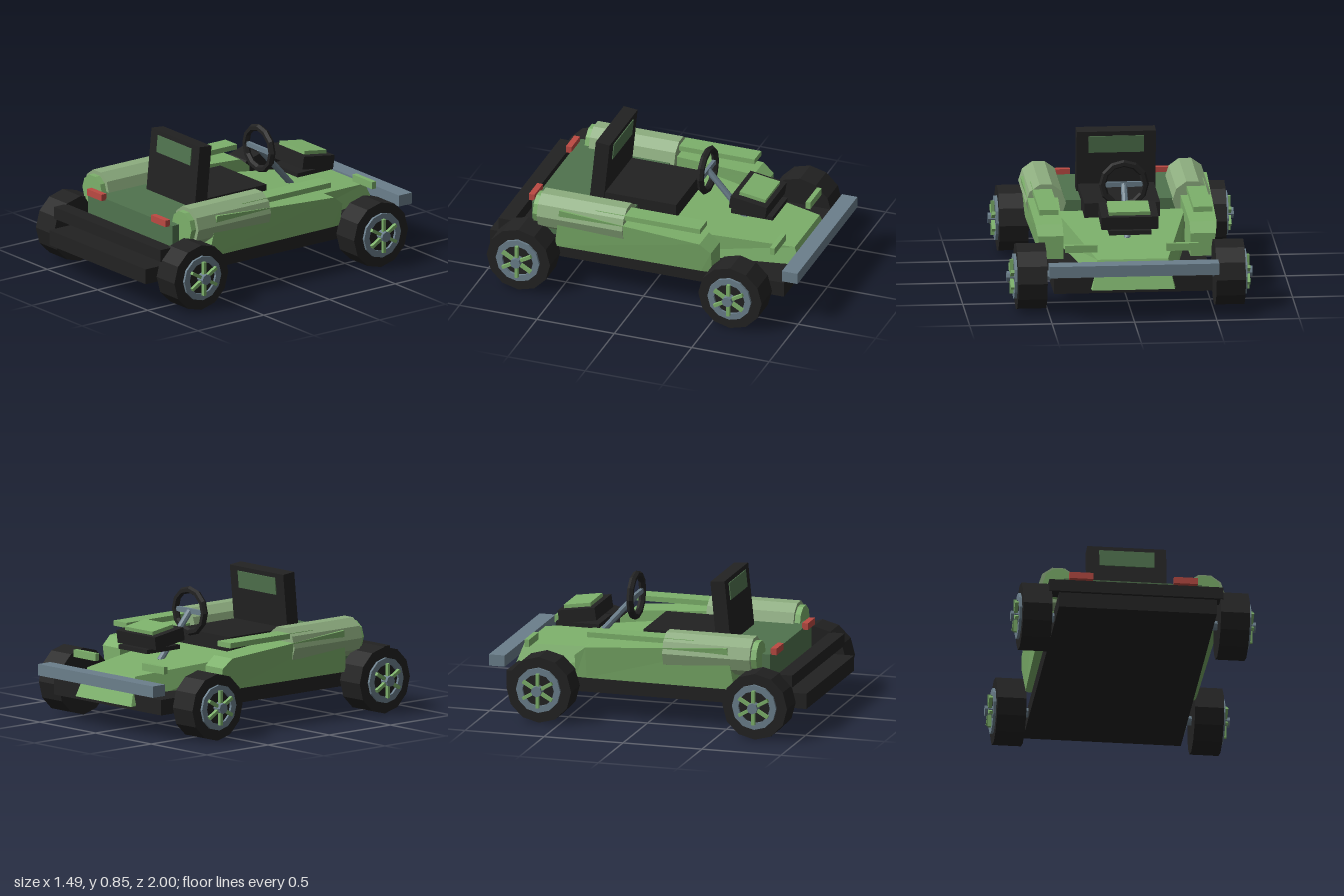
import * as THREE from 'three';

const mat = (name, color) => {
  const m = new THREE.MeshStandardMaterial({ color, flatShading: true });
  m.name = name;
  return m;
};

export function createModel() {
  const kart = new THREE.Group();
  kart.name = 'kart';
  const green = mat('bright green', 0x7db16b);
  const darkGreen = mat('dark green', 0x50734e);
  const sage = mat('sage green', 0x8dad7f);
  const black = mat('black', 0x222222);
  const grey = mat('steel grey', 0x6b7f8c);
  const red = mat('red', 0xbb4a42);

  const add = (name, geo, m, x = 0, y = 0, z = 0, parent = kart) => {
    const mesh = new THREE.Mesh(geo, m);
    mesh.name = name;
    mesh.position.set(x, y, z);
    parent.add(mesh);
    return mesh;
  };
  // box given by its limits
  const span = (name, m, x0, x1, y0, y1, z0, z1) =>
    add(name, new THREE.BoxGeometry(x1 - x0, y1 - y0, z1 - z0), m,
      (x0 + x1) / 2, (y0 + y1) / 2, (z0 + z1) / 2);
  // same box on both sides
  const pair = (name, m, x0, x1, ...r) => {
    span(name + 'Left', m, x0, x1, ...r);
    span(name + 'Right', m, -x1, -x0, ...r);
  };
  // box whose vertices are moved by a rule
  const shaped = (rule, depthSegments = 1) => {
    const g = new THREE.BoxGeometry(2, 2, 2, 1, 1, depthSegments);
    const p = g.attributes.position;
    for (let i = 0; i < p.count; i++) p.setXYZ(i, ...rule(p.getX(i), p.getY(i), p.getZ(i)));
    g.computeVertexNormals();
    return g;
  };
  const lerp = THREE.MathUtils.lerp;

  // chassis and bumpers
  span('chassis', black, -0.48, 0.48, 0.16, 0.255, -0.9, 1);
  span('rearBumper', black, -0.53, 0.53, 0.3, 0.375, 0.83, 0.925);
  span('frontBumper', grey, -0.515, 0.515, 0.285, 0.355, -1, -0.9);

  // rear deck, cockpit floor and tail lights
  span('rearDeck', darkGreen, -0.42, 0.42, 0.27, 0.465, 0.14, 0.75);
  span('cockpitFloor', black, -0.4, 0.4, 0.25, 0.38, -0.1, 0.16);
  pair('tailLight', red, 0.245, 0.39, 0.456, 0.497, 0.745, 0.782);

  // wedge hood, narrow at the nose
  add('hood', shaped((x, y, z) => {
    const top = y > 0;
    if (z < 0) return top ? [x * 0.215, 0.36, -0.87] : [x * 0.25, 0.185, -0.935];
    return top ? [x * 0.39, 0.43, 0.02] : [x * 0.41, 0.25, 0.065];
  }), green);
  pair('noseFin', green, 0.21, 0.405, 0.39, 0.435, -0.81, -0.78);

  // side pods with top rails and rounded tanks
  for (const s of [1, -1]) {
    const side = s > 0 ? 'Left' : 'Right';
    add('sidePod' + side, shaped((x, y, z) => {
      const top = y > 0;
      // stations: front edge, shoulder, rear
      const k = z < -0.9 ? 0 : z < 0.9 ? 1 : 2;
      const outer = (top ? [0.54, 0.55, 0.565] : [0.515, 0.52, 0.535])[k];
      const inner = [0.385, 0.385, 0.36][k];
      const height = top ? [0.4, 0.455, 0.52][k] : 0.258;
      const depth = (top ? [-0.45, -0.38, 0.52] : [-0.45, -0.38, 0.56])[k];
      return [s * (outer + inner) / 2 + x * (outer - inner) / 2, height, depth];
    }, 2), green);
    span('topRail' + side, green, s * 0.467 - 0.058, s * 0.467 + 0.058, 0.513, 0.545, -0.375, 0.3);

    const tank = (name, r, z0, z1, m) => {
      const g = new THREE.CylinderGeometry(r, r, z1 - z0, 10);
      g.rotateY(Math.PI / 10).rotateX(Math.PI / 2);
      add(name + side, g, m, s * 0.445, 0.457, (z0 + z1) / 2);
    };
    tank('tankShell', 0.122, 0.112, 0.665, sage);
    tank('tankCore', 0.098, 0.13, 0.7, green);
  }

  // seat
  span('seatCushion', black, -0.23, 0.23, 0.36, 0.51, -0.11, 0.4);
  const back = new THREE.Group();
  back.name = 'seatBack';
  back.position.set(0, 0.655, 0.38);
  back.rotation.x = -0.1;
  kart.add(back);
  add('backrest', new THREE.BoxGeometry(0.48, 0.385, 0.09), black, 0, 0, 0, back);
  for (const s of [1, -1])
    add('backrestPanel', new THREE.BoxGeometry(0.335, 0.105, 0.008), darkGreen, 0, 0.112, s * 0.047, back);

  // steering wheel and column
  add('steeringWheel', new THREE.TorusGeometry(0.13, 0.022, 6, 12), black, 0, 0.657, -0.228);
  add('steeringCrossbar', new THREE.BoxGeometry(0.25, 0.03, 0.02), grey, 0, 0.657, -0.228);
  const a = new THREE.Vector3(0, 0.655, -0.23), b = new THREE.Vector3(0, 0.38, -0.475);
  const column = add('steeringColumn', new THREE.CylinderGeometry(0.02, 0.02, a.distanceTo(b), 8), grey);
  column.position.copy(a).lerp(b, 0.5);
  column.quaternion.setFromUnitVectors(new THREE.Vector3(0, 1, 0), a.clone().sub(b).normalize());

  // tilted instrument box on its base
  span('instrumentBase', black, -0.128, 0.128, 0.464, 0.49, -0.695, -0.425);
  const box = new THREE.Group();
  box.name = 'instrumentBox';
  box.position.set(0, 0.547, -0.55);
  box.rotation.x = -0.15;
  kart.add(box);
  add('instrumentCase', new THREE.BoxGeometry(0.345, 0.08, 0.236), black, 0, 0, 0, box);
  add('instrumentLid', new THREE.BoxGeometry(0.25, 0.025, 0.17), green, 0, 0.05, -0.005, box);

  // wheels and axles, built along y then turned to x
  const tyre = new THREE.CylinderGeometry(0.205, 0.205, 0.177, 12);
  const ring = new THREE.LatheGeometry(
    [[0.1, 0], [0.14, 0], [0.14, 0.017], [0.1, 0.017], [0.1, 0]].map(p => new THREE.Vector2(...p)), 12);
  const hub = new THREE.CylinderGeometry(0.033, 0.033, 0.06, 8);
  const spoke = new THREE.BoxGeometry(0.02, 0.022, 0.1).translate(0, 0, 0.056);
  for (const z of [0.737, -0.63]) {
    const axle = add('axle', new THREE.CylinderGeometry(0.03, 0.03, 1.1, 8), grey, 0, 0.205, z);
    axle.rotation.z = Math.PI / 2;
    for (const s of [1, -1]) {
      const wheel = new THREE.Group();
      wheel.name = (z > 0 ? 'rear' : 'front') + 'Wheel' + (s > 0 ? 'Left' : 'Right');
      wheel.position.set(s * 0.601, 0.205, z);
      wheel.rotation.z = -s * Math.PI / 2;
      kart.add(wheel);
      add('tyre', tyre, black, 0, 0, 0, wheel);
      add('rim', ring, grey, 0, 0.0875, 0, wheel);
      add('hub', hub, grey, 0, 0.114, 0, wheel);
      for (let i = 0; i < 6; i++) {
        const sp = add('spoke', spoke, green, 0, 0.115, 0, wheel);
        sp.rotation.y = Math.PI / 2 + i * Math.PI / 3;
      }
    }
  }
  return kart;
}
